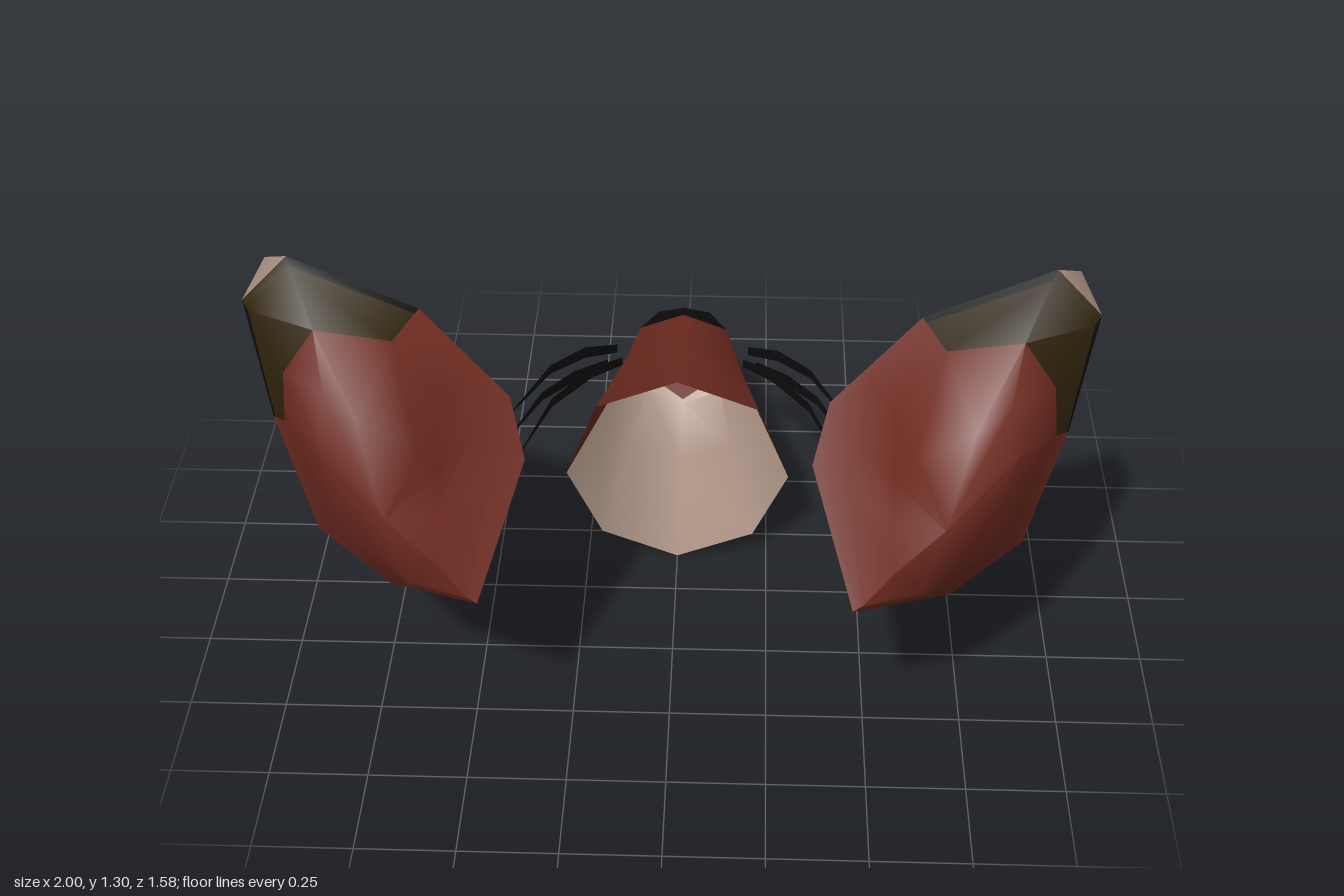
import * as THREE from 'three';
import { toCreasedNormals } from 'three/addons/utils/BufferGeometryUtils.js';

const paint = (name, color) => {
  const m = new THREE.MeshStandardMaterial({ color, side: THREE.DoubleSide });
  m.name = name;
  return m;
};

const lerp = (a, b, t) => a.map((v, i) => v + (b[i] - v) * t);
const lerpRing = (a, b, t) => a.map((p, i) => lerp(p, b[i], t));
const same = (a, b) => Math.hypot(a[0] - b[0], a[1] - b[1], a[2] - b[2]) < 1e-5;

// Skin between successive cross-sections; colourOf(ring, segment) picks a material index
function skin(name, rings, materials, { closed = false, side = 1, crease = 1.1, colourOf = () => 0 } = {}) {
  const buckets = materials.map(() => []);
  rings.slice(0, -1).forEach((a, r) => {
    const b = rings[r + 1], n = a.length;
    for (let i = 0; i < (closed ? n : n - 1); i++) {
      const j = (i + 1) % n, out = buckets[colourOf(r, i)];
      for (const [p, q, s] of [[a[i], b[i], a[j]], [a[j], b[i], b[j]]]) {
        if (same(p, q) || same(q, s) || same(p, s)) continue;
        for (const v of side > 0 ? [p, q, s] : [p, s, q]) out.push(v[0] * side, v[1], v[2]);
      }
    }
  });
  const geo = new THREE.BufferGeometry();
  geo.setAttribute('position', new THREE.Float32BufferAttribute(buckets.flat(), 3));
  let start = 0;
  buckets.forEach((b, i) => {
    if (b.length) geo.addGroup(start, b.length / 3, i);
    start += b.length / 3;
  });
  const mesh = new THREE.Mesh(toCreasedNormals(geo, crease), materials);
  mesh.name = name;
  return mesh;
}

// Mirrors a half section; the centre-line point is first or last
const fromTop = h => [...h.slice(1).reverse().map(([x, y, z]) => [-x, y, z]), ...h];
const fromBottom = h => [...h.map(([x, y, z]) => [-x, y, z]), ...h.slice(0, -1).reverse()];

function buildSnout(red, cream, black) {
  const g = new THREE.Group();
  g.name = 'snout';
  const noseEdge = [[0, 0.47, -0.67], [0.125, 0.42, -0.672], [0.143, 0.34, -0.71], [0.09, 0.27, -0.735]];
  // Upper muzzle: top, shoulder, cheek, lip
  g.add(skin('upperMuzzle', [
    [[0, 0.615, -0.12], [0.22, 0.525, -0.125], [0.263, 0.41, -0.13], [0.305, 0.295, -0.134]],
    [[0, 0.505, -0.47], [0.155, 0.45, -0.47], [0.187, 0.365, -0.475], [0.215, 0.28, -0.48]],
    [[0, 0.472, -0.655], [0.125, 0.425, -0.66], [0.147, 0.345, -0.68], [0.155, 0.265, -0.7]],
    noseEdge,
  ].map(fromTop), [red]));
  // Lower jaw: lip, side, keel
  g.add(skin('lowerJaw', [
    [[0.305, 0.295, -0.134], [0.21, 0.088, -0.14], [0, 0, -0.145]],
    [[0.215, 0.28, -0.48], [0.145, 0.145, -0.48], [0, 0.09, -0.48]],
    [[0.155, 0.265, -0.7], [0.11, 0.195, -0.68], [0, 0.155, -0.67]],
    [[0.09, 0.27, -0.735], [0.05, 0.266, -0.737], [0, 0.262, -0.738]],
  ].map(fromBottom), [cream], { crease: 0.8 }));
  // Faceted nose cap
  const tip = [0, 0.35, -0.79];
  g.add(skin('nose', [
    [...noseEdge, [0, 0.262, -0.738]],
    [[0, 0.468, -0.71], [0.075, 0.415, -0.768], [0.08, 0.35, -0.777], [0.06, 0.3, -0.768], [0, 0.29, -0.77]],
    Array(5).fill(tip),
  ].map(fromTop), [black], { crease: 0.6 }));
  // Mouth lining behind the chin, with a pale ridge above it
  const ridge = [[-0.13, 0.262, -0.69], [0.13, 0.262, -0.69]];
  g.add(skin('mouthLining', [ridge, [[0, 0.18, -0.655], [0, 0.18, -0.655]]], [red]));
  g.add(skin('mouthRidge', [[[-0.13, 0.283, -0.69], [0.13, 0.283, -0.69]], ridge], [cream]));
  return g;
}

// Each whisker is a bent, tapering upright ribbon given as [z, y] points
function buildWhiskers(side, black) {
  const g = new THREE.Group();
  g.name = side > 0 ? 'leftWhiskers' : 'rightWhiskers';
  const paths = [
    [[-0.614, 0.385], [-0.51, 0.44], [-0.4, 0.455], [-0.247, 0.378]],
    [[-0.56, 0.37], [-0.45, 0.397], [-0.35, 0.398], [-0.217, 0.314]],
    [[-0.63, 0.33], [-0.53, 0.357], [-0.4, 0.34], [-0.27, 0.213]],
  ];
  const half = [0.014, 0.018, 0.014, 0];
  paths.forEach((path, k) => {
    const rings = path.map(([z, y], i) => {
      const x = 0.153 + (z + 0.64) * 0.82 + (k === 1 ? -0.005 : 0.015);
      return [[x, y + half[i], z], [x, y - half[i], z]];
    });
    g.add(skin('whisker', rings, [black], { side }));
  });
  return g;
}

function buildEar(side, red, cream, olive, black) {
  const g = new THREE.Group();
  g.name = side > 0 ? 'leftEar' : 'rightEar';
  // Ten spokes, starting at the tip and going round by the outer edge
  const outline = [
    [0.893, 1.3, 0.378], [1, 1.198, 0.41], [0.947, 0.9, 0.46], [0.86, 0.594, 0.5], [0.69, 0.462, 0.547],
    [0.44, 0.604, 0.785], [0.342, 0.83, 0.52], [0.38, 0.957, 0.44], [0.46, 1.045, 0.43], [0.588, 1.176, 0.4]];
  const middle = [
    [0.81, 1.21, 0.55], [0.89, 1.09, 0.55], [0.915, 0.91, 0.49], [0.8, 0.63, 0.57], [0.64, 0.52, 0.62],
    [0.46, 0.62, 0.785], [0.42, 0.82, 0.58], [0.46, 0.9, 0.54], [0.53, 1, 0.55], [0.64, 1.15, 0.5]];
  const back = [
    [0.78, 1.1, 0.65], [0.8, 1.0, 0.7], [0.76, 0.88, 0.73], [0.68, 0.72, 0.74], [0.6, 0.65, 0.765],
    [0.53, 0.72, 0.785], [0.53, 0.8, 0.7], [0.53, 0.87, 0.63], [0.57, 0.97, 0.68], [0.7, 1.05, 0.69]];
  const lip = [
    [0.955, 1.265, 0.327], [0.98, 1.2, 0.32], [0.935, 0.88, 0.44], [0.84, 0.62, 0.47], [0.68, 0.5, 0.48],
    [0.45, 0.66, 0.43], [0.36, 0.82, 0.44], [0.395, 0.94, 0.42], [0.48, 1.04, 0.41], [0.6, 1.16, 0.39]];
  const isTip = i => i === 9 || i < 2;
  const isCream = i => i >= 8 || i < 3;
  const hub = p => Array(10).fill(p);

  // Back of the ear, with a dark tip and black edges beside it
  g.add(skin('earBack', [outline, lerpRing(outline, middle, 0.15), middle, back, hub([0.64, 0.85, 0.785])],
    [red, olive, black],
    { closed: true, side, colourOf: (r, i) => (r > 1 || !isTip(i) ? 0 : r === 0 && i !== 0 ? 2 : 1) }));
  // Rim and hollow, with a red lower inner margin
  const floor = hub([0.65, 0.86, 0.68]);
  const inset = (t, depth) => lerpRing(lip, floor, t).map(([x, y, z]) => [x, y, z + depth]);
  g.add(skin('earHollow', [outline, lip, inset(0.36, 0.01), inset(0.7, 0.02), floor],
    [red, cream],
    { closed: true, side, colourOf: (r, i) => (r > 1 || isCream(i) ? 1 : 0) }));

  // Pointed tufts lying along the lower inner margin: spoke, start and end towards the floor, material
  const tufts = [[3.5, 0.2, 0.5, red], [4, 0.22, 0.6, red], [4.5, 0.2, 0.55, red], [5, 0.2, 0.62, red],
    [5.6, 0.15, 0.55, red], [6.3, 0.15, 0.5, red], [4.25, 0.5, 0.15, cream], [5.3, 0.5, 0.15, cream]];
  for (const [spoke, from, to, mat] of tufts) {
    const k = Math.floor(spoke);
    const root = lerp(lip[k], lip[k + 1], spoke - k);
    const [a, b] = [from, to].map(t => {
      const [x, y, z] = lerp(root, floor[0], t);
      return new THREE.Vector3(x * side, y, z);
    });
    const dir = b.clone().sub(a);
    const geo = new THREE.ConeGeometry(0.045, dir.length(), 4, 1, true);
    const tuft = new THREE.Mesh(toCreasedNormals(geo, 0.3), mat);
    tuft.name = 'earTuft';
    tuft.position.copy(a).addScaledVector(dir, 0.5);
    tuft.quaternion.setFromUnitVectors(new THREE.Vector3(0, 1, 0), dir.normalize());
    g.add(tuft);
  }
  return g;
}

export function createModel() {
  const red = paint('russet fur', 0x6f2b20);
  const cream = paint('cream fur', 0xa89082);
  const olive = paint('dark olive fur', 0x2e220b);
  const black = paint('black', 0x0b0b0b);
  const model = new THREE.Group();
  model.name = 'animalFaceSet';
  model.add(buildSnout(red, cream, black));
  for (const side of [1, -1]) {
    model.add(buildWhiskers(side, black), buildEar(side, red, cream, olive, black));
  }
  return model;
}
